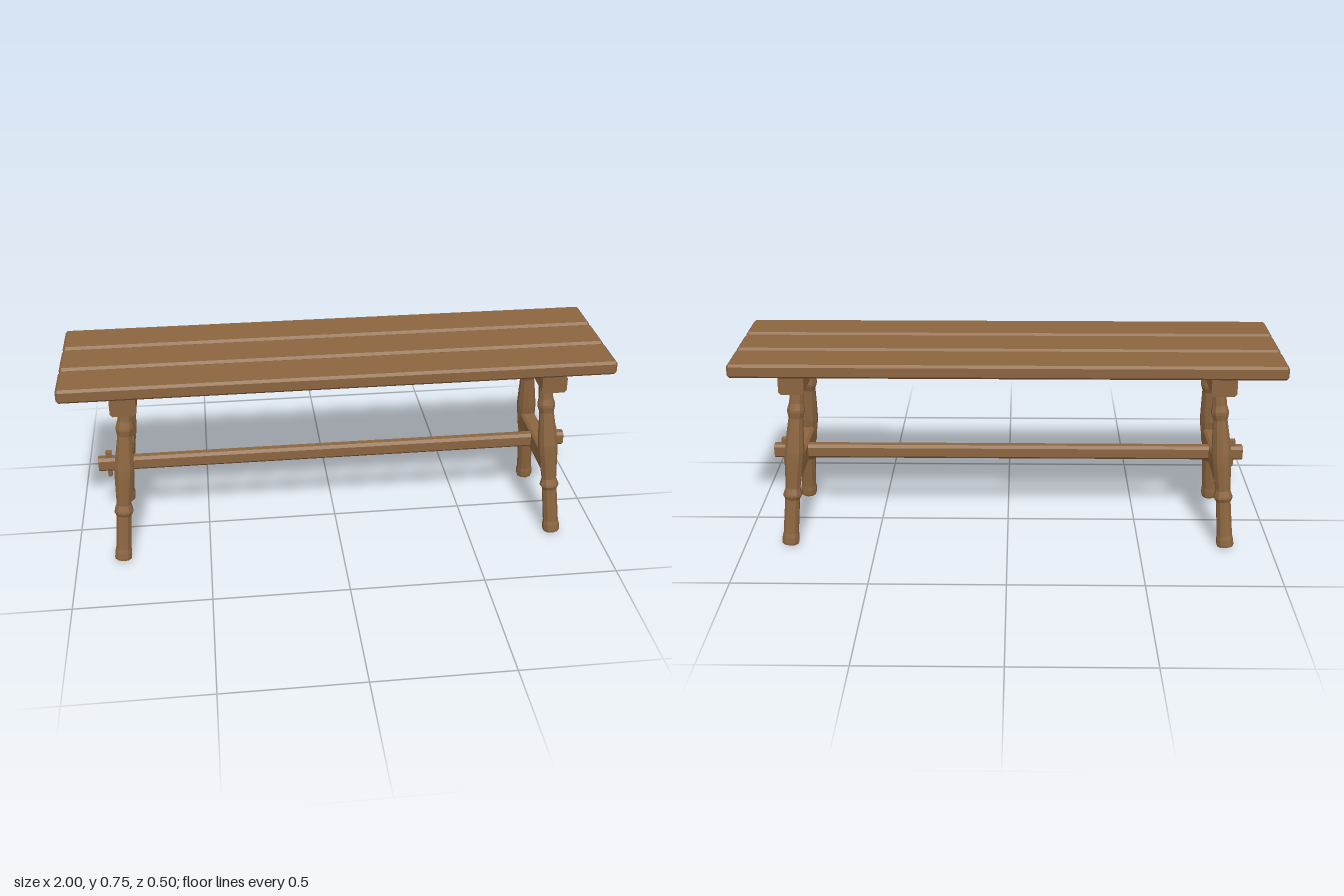
import * as THREE from 'three';
import { ConvexGeometry } from 'three/addons/geometries/ConvexGeometry.js';

const wood = new THREE.MeshStandardMaterial({ color: 0x8b6540, flatShading: true });
wood.name = 'wood';

function part(name, geometry, x = 0, y = 0, z = 0) {
  const mesh = new THREE.Mesh(geometry, wood);
  mesh.name = name;
  mesh.position.set(x, y, z);
  return mesh;
}

// Box with every edge chamfered
function chamferedBox(w, h, d, c) {
  const points = [];
  for (const sx of [-1, 1]) for (const sy of [-1, 1]) for (const sz of [-1, 1]) {
    for (const [i, j, k] of [[0, c, c], [c, 0, c], [c, c, 0]]) {
      points.push(new THREE.Vector3(sx * (w / 2 - i), sy * (h / 2 - j), sz * (d / 2 - k)));
    }
  }
  return new ConvexGeometry(points);
}

// Beam along z with chamfered long edges and square-cut ends
function beam(w, h, length, c) {
  const a = w / 2, b = h / 2;
  const shape = new THREE.Shape([
    [a, c - b], [a, b - c], [a - c, b], [c - a, b],
    [-a, b - c], [-a, c - b], [c - a, -b], [a - c, -b],
  ].map(([x, y]) => new THREE.Vector2(x, y)));
  const geometry = new THREE.ExtrudeGeometry(shape, { depth: length, bevelEnabled: false });
  return geometry.translate(0, 0, -length / 2);
}

// Turned leg: [radius, distance from the foot]
const legProfile = [
  [0, 0], [0.031, 0], [0.033, 0.008], [0.032, 0.03], [0.029, 0.045], [0.028, 0.18],
  [0.036, 0.195], [0.035, 0.203], [0.028, 0.225], [0.031, 0.27],
  [0.036, 0.335], [0.037, 0.37], [0.032, 0.44], [0.027, 0.5],
  [0.033, 0.523], [0.033, 0.533], [0.027, 0.558], [0.024, 0.635], [0.024, 0.66], [0, 0.66],
].map(([r, t]) => new THREE.Vector2(r, t));

export function createModel() {
  const bench = new THREE.Group();
  bench.name = 'bench';

  // Seat planks
  const plank = chamferedBox(2, 0.052, 0.161, 0.009);
  for (const z of [-0.172, 0, 0.172]) bench.add(part('seatPlank', plank, 0, 0.721, z));

  const bearer = beam(0.092, 0.066, 0.486, 0.009);
  const crossRail = beam(0.056, 0.077, 0.37, 0.009);
  const leg = new THREE.LatheGeometry(legProfile, 10);

  // Tapered wedge peg
  const peg = new THREE.BoxGeometry(0.022, 0.106, 0.022);
  const p = peg.attributes.position;
  for (let i = 0; i < p.count; i++) if (p.getY(i) < 0) p.setX(i, p.getX(i) * 0.65);

  const up = new THREE.Vector3(0, 1, 0);
  for (const s of [-1, 1]) {
    const end = new THREE.Group();
    end.name = s > 0 ? 'leftTrestle' : 'rightTrestle';
    end.add(part('seatBearer', bearer, s * 0.775, 0.663, 0));
    end.add(part('crossRail', crossRail, s * 0.802, 0.298, 0));
    end.add(part('wedgePeg', peg, s * 0.865, 0.298, 0));
    // Splayed legs
    for (const f of [-1, 1]) {
      const mesh = part(f > 0 ? 'frontLeg' : 'backLeg', leg, s * 0.829, 0.006, f * 0.211);
      const axis = new THREE.Vector3(-s * 0.055, 0.63, -f * 0.087).normalize();
      mesh.quaternion.setFromUnitVectors(up, axis);
      end.add(mesh);
    }
    bench.add(end);
  }

  // Long stretcher passing through both cross rails
  const stretcher = part('longStretcher', beam(0.042, 0.055, 1.81, 0.01), 0, 0.3, 0);
  stretcher.rotation.y = Math.PI / 2;
  bench.add(stretcher);

  return bench;
}
